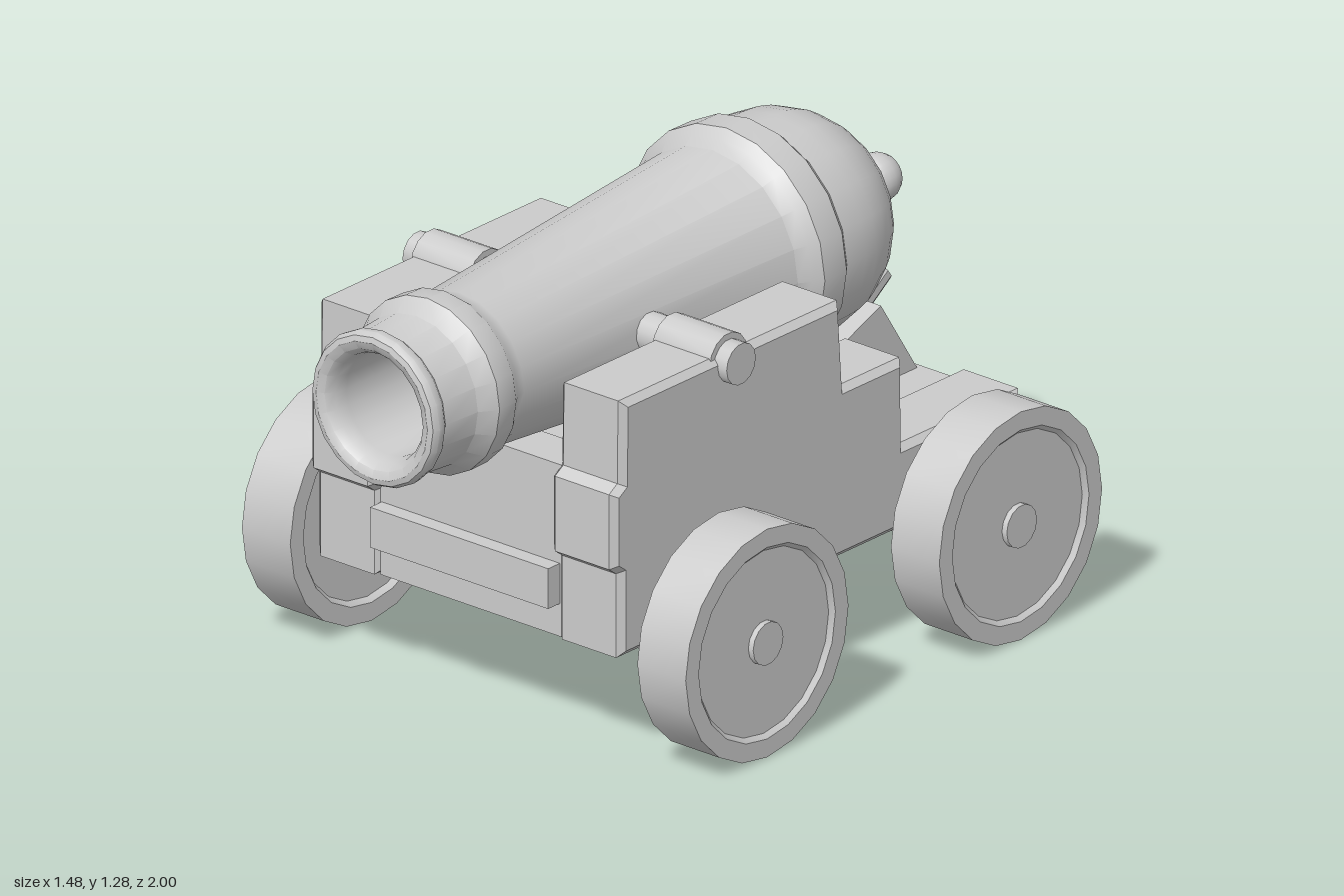
import * as THREE from 'three';
import { toCreasedNormals } from 'three/addons/utils/BufferGeometryUtils.js';

const material = new THREE.MeshStandardMaterial({ color: 0xcccccc });

function add(parent, name, geometry, x = 0, y = 0, z = 0, crease = 0.55) {
  const mesh = new THREE.Mesh(toCreasedNormals(geometry, crease), material);
  mesh.name = name;
  mesh.position.set(x, y, z);
  parent.add(mesh);
  return mesh;
}

const lathe = (points, sides) =>
  new THREE.LatheGeometry(points.map(([r, h]) => new THREE.Vector2(r, h)), sides);

const cylinderX = (r0, r1, length, sides) =>
  new THREE.CylinderGeometry(r1, r0, length, sides).rotateZ(-Math.PI / 2);

// Side profile given as [z, y], extruded across x and centred on x = 0
function profileX(points, width, bevel) {
  const shape = new THREE.Shape(points.map(([z, y]) => new THREE.Vector2(z, y)));
  const depth = width - 2 * bevel;
  return new THREE.ExtrudeGeometry(shape, {
    depth, bevelEnabled: bevel > 0, bevelThickness: bevel,
    bevelSize: bevel, bevelOffset: -bevel, bevelSegments: 1,
  }).translate(0, 0, -depth / 2).rotateY(-Math.PI / 2);
}

function createBarrel() {
  const points = [];
  // Round knob behind the breech
  for (let i = 0; i <= 8; i++) {
    const a = (i / 8) * 2.45;
    points.push([0.066 * Math.sin(a), -0.934 - 0.066 * Math.cos(a)]);
  }
  points.push([0.042, -0.86], [0.06, -0.838]);
  // Domed breech
  for (let i = 1; i <= 9; i++) {
    const a = 0.2 + (i / 9) * (Math.PI / 2 - 0.2);
    points.push([0.302 * Math.sin(a), -0.545 - 0.295 * Math.cos(a)]);
  }
  // Breech ring, taper, muzzle swell and rounded lip
  points.push(
    [0.304, -0.47], [0.325, -0.445], [0.326, -0.36], [0.305, -0.335], [0.284, -0.305],
    [0.212, 0.66], [0.216, 0.69], [0.237, 0.72], [0.238, 0.785], [0.205, 0.83],
    [0.197, 0.945], [0.207, 0.958], [0.209, 0.98], [0.2, 0.996], [0.185, 1],
    [0.163, 0.992], [0.147, 0.97], [0.14, 0.935], [0.14, 0.1], [0, 0.1],
  );
  return lathe(points, 20).rotateX(Math.PI / 2);
}

function createWheel() {
  const g = new THREE.Group();
  g.name = 'wheel';
  const rim = lathe([
    [0, -0.065], [0.25, -0.065], [0.262, -0.08], [0.312, -0.08],
    [0.312, 0.08], [0.262, 0.08], [0.25, 0.068], [0, 0.068],
  ], 20).rotateZ(-Math.PI / 2);
  add(g, 'wheelDisc', rim);
  add(g, 'hub', cylinderX(0.058, 0.058, 0.16, 14), 0.004);
  return g;
}

export function createModel() {
  const model = new THREE.Group();
  model.name = 'cannon';
  const axleY = 0.313;
  const axles = [0.335, -0.637];

  add(model, 'barrel', createBarrel(), 0, 0.957, 0, 0.6);

  // Stepped side cheeks with the trunnions and their caps
  const cheek = [
    [-0.91, 0.3], [0.63, 0.3], [0.63, 0.53], [0.657, 0.55], [0.657, 0.755],
    [0.625, 0.775], [0.622, 1.0], [-0.215, 1.0], [-0.232, 0.765],
    [-0.455, 0.765], [-0.458, 0.53], [-0.91, 0.53],
  ];
  for (const s of [1, -1]) {
    add(model, 'cheek', profileX(cheek, 0.215, 0.018), s * 0.4, 0, 0, 0.3);
    add(model, 'trunnionCap', cylinderX(0.073, 0.073, 0.19, 14), s * 0.4, 0.977, 0.205);
    add(model, 'trunnion', cylinderX(0.056, 0.056, 0.36, 14), s * 0.357, 0.977, 0.205);
  }

  // Front transom and bed between the cheeks
  add(model, 'frontTransom', new THREE.BoxGeometry(0.6, 0.47, 0.13), 0, 0.535, 0.555);
  add(model, 'bed', new THREE.BoxGeometry(0.59, 0.11, 1.575), 0, 0.445, -0.1225);

  // Axle beams, tapered axle ends, wheels and keeper blocks
  for (const z of axles) {
    add(model, 'axleBeam', new THREE.BoxGeometry(1.0, 0.16, 0.2), 0, 0.315, z);
    for (const s of [1, -1]) {
      const end = new THREE.Group();
      end.name = 'axleEnd';
      end.position.set(0, axleY, z);
      if (s < 0) end.rotation.y = Math.PI;
      add(end, 'axleCone', cylinderX(0.082, 0.058, 0.1, 12), 0.54);
      const wheel = createWheel();
      wheel.position.x = 0.655;
      end.add(wheel);
      add(end, 'keeperBlock', new THREE.BoxGeometry(0.12, 0.09, 0.13), 0.397, -0.053);
      model.add(end);
    }
  }

  // Elevating wedge with its handle
  const wedge = [[-0.9, 0.49], [-0.4, 0.49], [-0.4, 0.575], [-0.755, 0.715]];
  add(model, 'wedge', profileX(wedge, 0.34, 0), 0, 0, 0, 0.3);
  const handle = add(model, 'wedgeHandle',
    new THREE.CylinderGeometry(0.037, 0.037, 0.22, 10), 0, 0.64, -0.855);
  handle.rotation.x = -0.96;

  return model;
}
